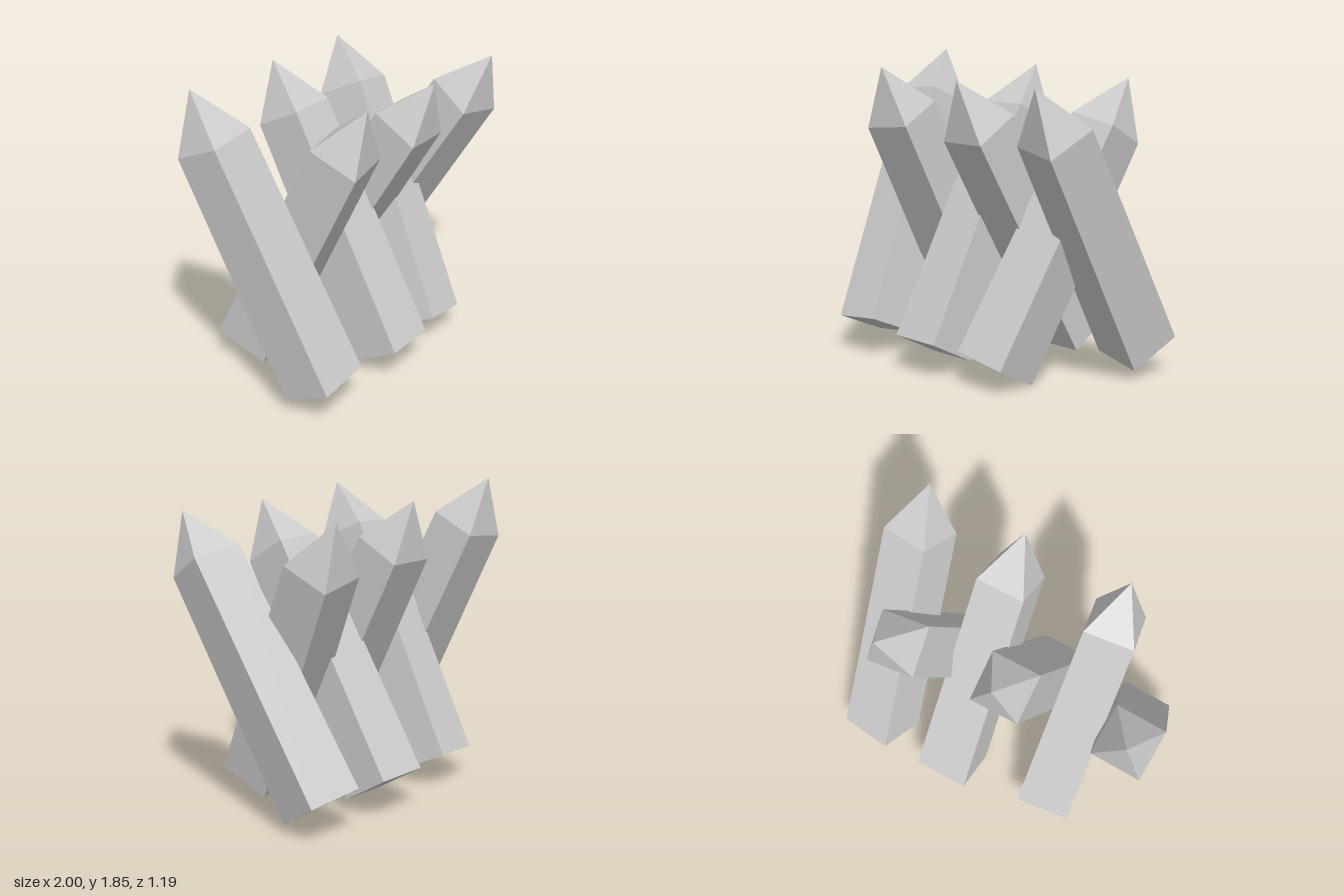
import * as THREE from 'three';

const SHAFT = 1.53, POINT = 0.325, BASE = 0.335, SHOULDER = 0.304;

// Four-sided tapered prism with flat faces, standing on y
function prism(topSide, bottomSide, height, y, open) {
  const g = new THREE.CylinderGeometry(topSide * Math.SQRT1_2, bottomSide * Math.SQRT1_2, height, 4, 1, open);
  g.rotateY(Math.PI / 4).translate(0, y + height / 2, 0);
  const flat = g.toNonIndexed();
  flat.computeVertexNormals();
  return flat;
}

// Each stake: centre of its foot, its tip, and the direction of its side-to-side edge
const stakes = [
  // leaning back
  { name: 'backLeaningStakeRight', foot: [-0.695, 0.173, 0.395], tip: [-0.875, 1.855, -0.36], edge: [0.34, 0.035, 0] },
  { name: 'backLeaningStakeMiddle', foot: [-0.092, 0.145, 0.45], tip: [-0.092, 1.795, -0.405], edge: [1, 0, 0] },
  { name: 'backLeaningStakeLeft', foot: [0.376, 0.109, 0.395], tip: [0.62, 1.74, -0.445], edge: [0.33, -0.06, -0.02] },
  // leaning forward
  { name: 'frontLeaningStakeRight', foot: [-0.438, 0.142, -0.313], tip: [-0.46, 1.8, 0.523], edge: [0.325, 0.027, -0.045] },
  { name: 'frontLeaningStakeMiddle', foot: [0.205, 0.168, -0.437], tip: [0.207, 1.755, 0.53], edge: [1, 0, 0] },
  { name: 'frontLeaningStakeLeft', foot: [0.733, 0.17, -0.43], tip: [0.833, 1.742, 0.54], edge: [0.32, -0.05, 0.05] },
];

export function createModel() {
  const model = new THREE.Group();
  model.name = 'stakeBarricade';
  const grey = new THREE.MeshStandardMaterial({ color: 0xcccccc });
  grey.name = 'grey';

  const shaftGeometry = prism(SHOULDER, BASE, SHAFT, 0, false);
  const pointGeometry = prism(0, SHOULDER, POINT, SHAFT, true);

  for (const { name, foot, tip, edge } of stakes) {
    const stake = new THREE.Group();
    stake.name = name;
    const shaft = new THREE.Mesh(shaftGeometry, grey);
    shaft.name = 'shaft';
    const point = new THREE.Mesh(pointGeometry, grey);
    point.name = 'point';
    stake.add(shaft, point);

    // Aim the stake from foot to tip, keeping its edge direction
    const base = new THREE.Vector3(...foot);
    const up = new THREE.Vector3(...tip).sub(base).normalize();
    const side = new THREE.Vector3(...edge);
    side.addScaledVector(up, -side.dot(up)).normalize();
    const front = new THREE.Vector3().crossVectors(side, up);
    stake.quaternion.setFromRotationMatrix(new THREE.Matrix4().makeBasis(side, up, front));
    stake.position.copy(base);
    model.add(stake);
  }
  return model;
}
